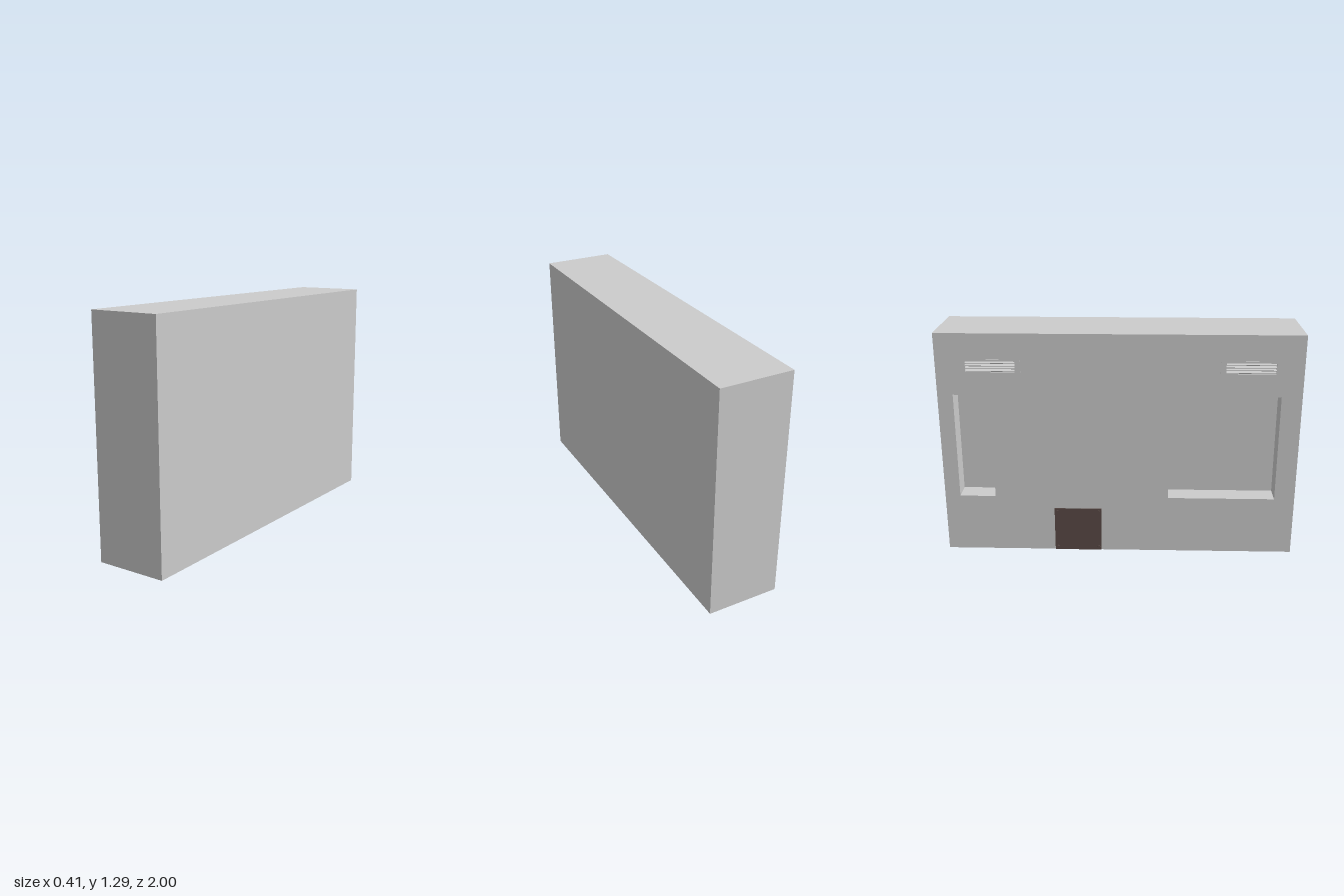
import * as THREE from 'three';

const grey = new THREE.MeshStandardMaterial({ color: 0xcccccc });
const brown = new THREE.MeshStandardMaterial({ color: 0x5a4a46 });
const H = 1.295, FACE = 0.2, RECESS = 0.083, REAR = -0.206;

function rect(Type, x0, x1, y0, y1) {
  return new Type([[x0, y0], [x1, y0], [x1, y1], [x0, y1]].map(p => new THREE.Vector2(...p)));
}

function add(parent, name, geometry, x, y, z, material = grey) {
  const mesh = new THREE.Mesh(geometry, material);
  mesh.name = name;
  mesh.position.set(x, y, z);
  parent.add(mesh);
  return mesh;
}

// Panel with rectangular openings, extruded outward along local z
function panel(outer, holes, depth) {
  const shape = rect(THREE.Shape, ...outer);
  holes.forEach(h => shape.holes.push(rect(THREE.Path, ...h)));
  return new THREE.ExtrudeGeometry(shape, { depth, bevelEnabled: false });
}

// Louvred vent: slim frame with tilted slats in the opening
function vent(x) {
  const g = new THREE.Group();
  g.name = 'vent';
  g.position.set(x, 1.11, FACE);
  add(g, 'ventFrame', panel([-0.165, 0.165, -0.04, 0.04], [[-0.135, 0.135, -0.03, 0.03]], 0.022), 0, 0, -0.02);
  for (let i = 0; i < 4; i++) {
    const slat = add(g, 'ventSlat', new THREE.BoxGeometry(0.27, 0.004, 0.022), 0, -0.0225 + i * 0.015, -0.011);
    slat.rotation.x = 0.35;
  }
  return g;
}

export function createModel() {
  const model = new THREE.Group();
  model.name = 'building';

  // Facade frame: local x runs along the wall, local z points outward
  const facade = new THREE.Group();
  facade.name = 'facade';
  facade.rotation.y = -Math.PI / 2;
  model.add(facade);

  // Solid rear block closes the window recesses
  add(facade, 'rearBlock', new THREE.BoxGeometry(2, H, RECESS - REAR), 0, H / 2, (RECESS + REAR) / 2);

  // Outer wall with window and vent openings
  const ventX = [-0.70, 0.714];
  const openings = [
    [0.28, 0.886, 0.338, 0.949],
    [-0.914, -0.71, 0.338, 0.949],
    ...ventX.map(x => [x - 0.15, x + 0.15, 1.075, 1.145]),
  ];
  add(facade, 'frontWall', panel([-1, 1, 0, H], openings, FACE - RECESS), 0, 0, RECESS);
  ventX.forEach(x => facade.add(vent(x)));

  // Door panel with a bolt at each corner
  add(facade, 'door', new THREE.BoxGeometry(0.27, 0.265, 0.006), -0.237, 0.1325, FACE + 0.001, brown);
  for (const x of [-0.357, -0.117]) {
    for (const y of [0.02, 0.248]) {
      const bolt = add(facade, 'doorBolt', new THREE.CylinderGeometry(0.007, 0.009, 0.006, 12), x, y, FACE + 0.005, brown);
      bolt.rotation.x = Math.PI / 2;
    }
  }
  return model;
}
